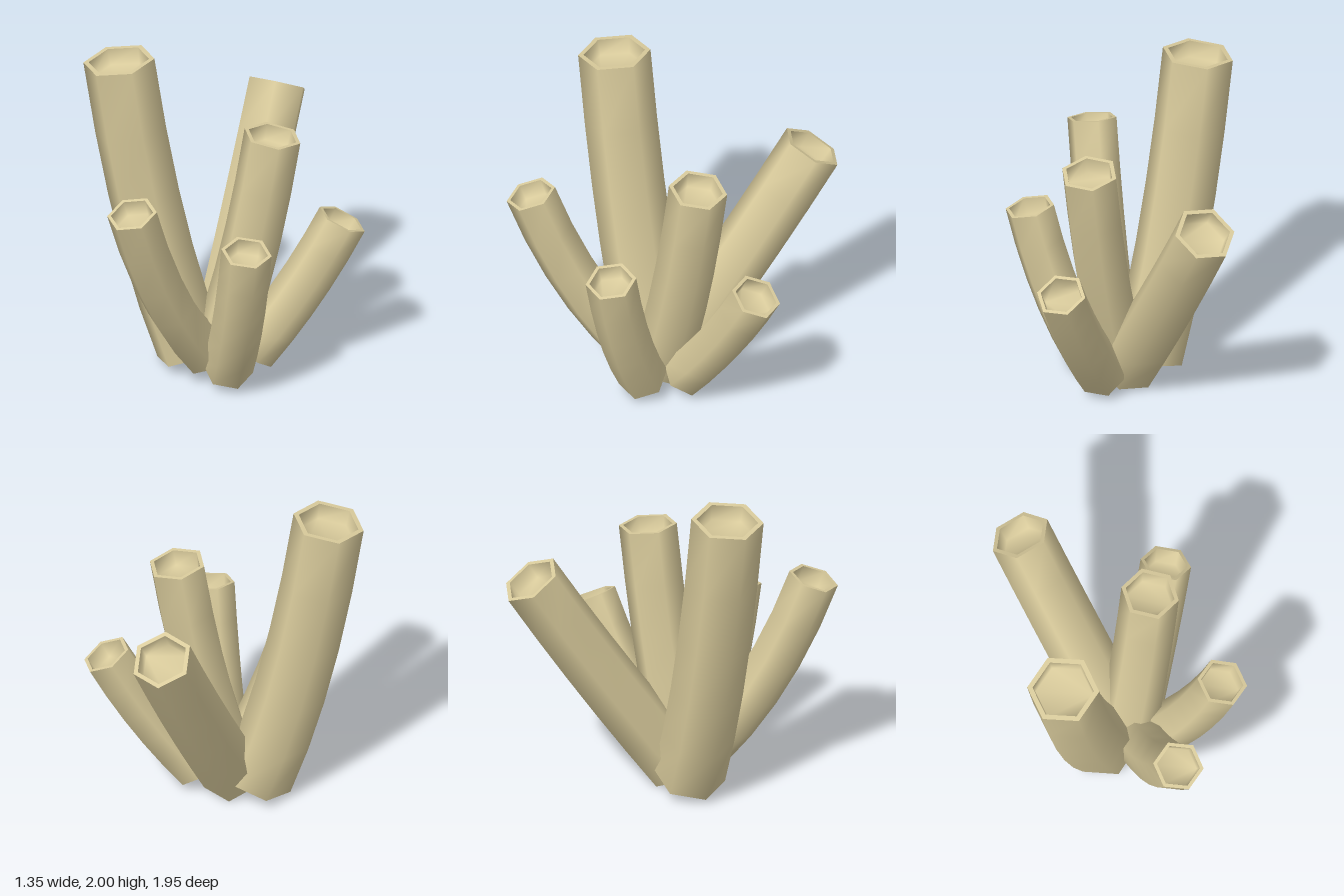
import * as THREE from 'three';

const SIDES = 6, RINGS = 5;

// Skin a list of rings (arrays of points); optionally close the last ring with a flat cap
function skin(rings, capLast = false) {
  const pos = [], idx = [];
  rings.forEach(r => r.forEach(p => pos.push(p.x, p.y, p.z)));
  for (let i = 0; i < rings.length - 1; i++) {
    for (let j = 0; j < SIDES; j++) {
      const a = i * SIDES + j, b = i * SIDES + (j + 1) % SIDES;
      idx.push(a, a + SIDES, b, b, a + SIDES, b + SIDES);
    }
  }
  if (capLast) {
    const s = (rings.length - 1) * SIDES;
    for (let j = 1; j < SIDES - 1; j++) idx.push(s, s + j + 1, s + j);
  }
  const g = new THREE.BufferGeometry();
  g.setAttribute('position', new THREE.Float32BufferAttribute(pos, 3));
  g.setIndex(idx);
  g.computeVertexNormals();
  return g;
}

// Hexagon across the direction t; turn rotates it about that direction
function hexagon(center, t, radius, turn) {
  const u = new THREE.Vector3(1, 0, 0).addScaledVector(t, -t.x).normalize();
  const w = new THREE.Vector3().crossVectors(u, t);
  return Array.from({ length: SIDES }, (_, j) => {
    const a = turn + j / SIDES * Math.PI * 2;
    return center.clone()
      .addScaledVector(u, radius * Math.cos(a))
      .addScaledVector(w, radius * Math.sin(a));
  });
}

// One hollow-ended tube that leans out and bends upwards
function makeTube({ name, base, tip, radius, bend, turn }, material) {
  const p0 = new THREE.Vector3(...base), p2 = new THREE.Vector3(...tip);
  const h = 0.5 + bend, v = 0.5 - bend;
  const p1 = new THREE.Vector3(
    p0.x + (p2.x - p0.x) * h, p0.y + (p2.y - p0.y) * v, p0.z + (p2.z - p0.z) * h);
  const curve = new THREE.QuadraticBezierCurve3(p0, p1, p2);

  const rings = [];
  for (let i = 0; i <= RINGS; i++) {
    const t = i / RINGS;
    rings.push(hexagon(curve.getPoint(t), curve.getTangent(t), radius, turn));
  }
  const end = curve.getTangent(1);
  const floor = p2.clone().addScaledVector(end, -0.1);
  const inner = hexagon(p2, end, radius * 0.85, turn);
  const group = new THREE.Group();
  group.name = name;
  const add = (part, geometry) => {
    const mesh = new THREE.Mesh(geometry, material);
    mesh.name = part;
    group.add(mesh);
  };
  add('wall', skin(rings));
  add('rim', skin([rings[RINGS], inner]));
  add('hollow', skin([inner, hexagon(floor, end, radius * 0.8, turn)], true));
  add('underside', skin([hexagon(p0, curve.getTangent(0), 0.001, turn), rings[0]]));
  return group;
}

export function createModel() {
  const model = new THREE.Group();
  model.name = 'tubeCluster';
  const material = new THREE.MeshStandardMaterial({ color: 0xd9cb9c, side: THREE.DoubleSide });
  const point = Math.PI / 6; // a corner towards the front
  const tubes = [
    { name: 'tallTube', base: [-0.12, 0.09, 0.1], tip: [-0.485, 1.96, 0.32], radius: 0.213, bend: 0.12, turn: point },
    { name: 'backTube', base: [0.02, 0.09, 0.03], tip: [-0.215, 1.435, -0.83], radius: 0.185, bend: 0.02, turn: 0 },
    { name: 'middleTube', base: [0.05, 0.08, 0.07], tip: [0.3, 1.53, -0.14], radius: 0.173, bend: 0.1, turn: point + 0.15 },
    { name: 'leftFrontTube', base: [0.22, 0.1, 0.18], tip: [0.52, 1.04, 0.38], radius: 0.15, bend: 0.12, turn: point },
    { name: 'frontTube', base: [0.06, 0.16, 0.19], tip: [0.02, 1.315, 0.83], radius: 0.15, bend: 0.12, turn: point },
    { name: 'leftBackTube', base: [0.2, 0.11, -0.07], tip: [0.56, 0.93, -0.47], radius: 0.15, bend: 0.06, turn: point },
  ];
  tubes.forEach(t => model.add(makeTube(t, material)));
  return model;
}
